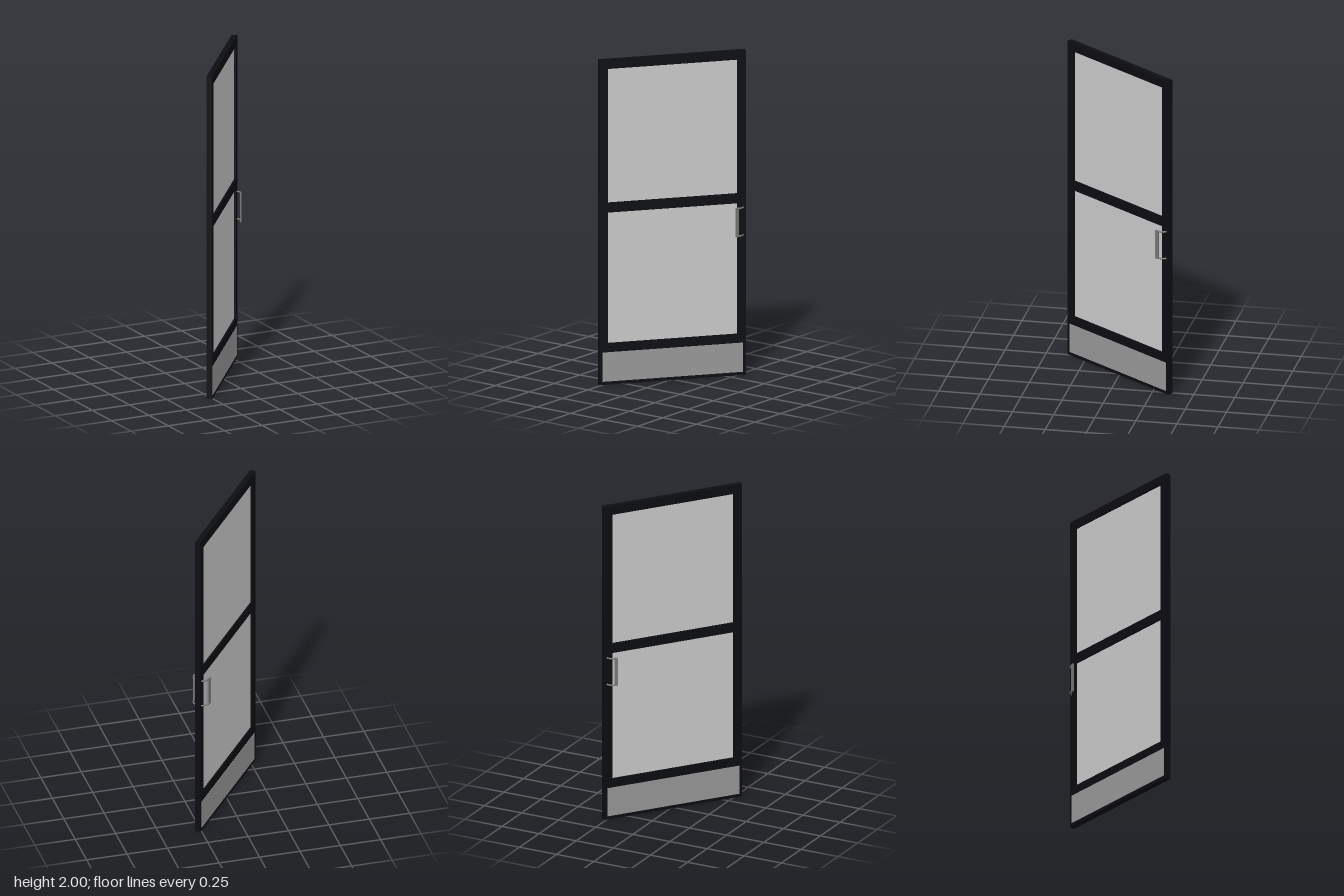
import * as THREE from 'three';

const mat = (color) => new THREE.MeshStandardMaterial({ color });

// Rectangle path from opposite corners
function rect(Type, x0, y0, x1, y1) {
  const p = new Type();
  p.moveTo(x0, y0).lineTo(x1, y0).lineTo(x1, y1).lineTo(x0, y1).closePath();
  return p;
}

export function createModel() {
  const model = new THREE.Group();
  model.name = 'door';
  const W = 0.453, T = 0.035, IN = 0.4; // half width, thickness, half opening
  const openings = { lowerPane: [0.255, 1.06], upperPane: [1.12, 1.945] };
  const frameMat = mat(0x0c0d12), paneMat = mat(0xcccccc), plateMat = mat(0x999999), handleMat = mat(0x777777);

  const add = (parent, name, geometry, material, x = 0, y = 0, z = 0) => {
    const m = new THREE.Mesh(geometry, material);
    m.name = name;
    m.position.set(x, y, z);
    parent.add(m);
    return m;
  };

  // Frame with two window openings
  const shape = rect(THREE.Shape, -W, 0, W, 2);
  for (const [y0, y1] of Object.values(openings)) shape.holes.push(rect(THREE.Path, -IN, y0, IN, y1));
  const frame = new THREE.ExtrudeGeometry(shape, { depth: T, bevelEnabled: false });
  add(model, 'frame', frame, frameMat, 0, 0, -T / 2);

  // Panes set in the openings
  for (const [name, [y0, y1]] of Object.entries(openings)) {
    add(model, name, new THREE.BoxGeometry(IN * 2, y1 - y0, 0.012), paneMat, 0, (y0 + y1) / 2, 0);
  }

  // Kick plate, showing on both faces
  add(model, 'kickPlate', new THREE.BoxGeometry(0.868, 0.18, T + 0.003), plateMat, 0, 0.11, 0);

  // Pull handle on each face: two bent arms carrying a flat vertical grip
  const up = new THREE.Vector3(0, 1, 0);
  for (const side of [1, -1]) {
    const handle = new THREE.Group();
    handle.name = side > 0 ? 'frontHandle' : 'backHandle';
    const pts = [[0.436, 0.016], [0.427, 0.034], [0.413, 0.044], [0.381, 0.051]];
    for (const y of [0.865, 1.035]) {
      for (let i = 0; i < pts.length - 1; i++) {
        const [a, b] = [pts[i], pts[i + 1]].map(([x, z]) => new THREE.Vector3(x, y, z * side));
        const d = b.clone().sub(a);
        const arm = add(handle, 'handleArm', new THREE.CylinderGeometry(0.005, 0.005, d.length() + 0.002, 8), handleMat);
        arm.position.copy(a).addScaledVector(d, 0.5);
        arm.quaternion.setFromUnitVectors(up, d.normalize());
      }
    }
    const grip = add(handle, 'handleGrip', new THREE.BoxGeometry(0.022, 0.18, 0.008), handleMat, 0.39, 0.95, 0.049 * side);
    grip.rotation.y = 0.215 * side;
    model.add(handle);
  }

  // Door stands swung open
  model.rotation.y = 0.924;
  const root = new THREE.Group();
  root.name = 'openDoor';
  root.add(model);
  return root;
}
